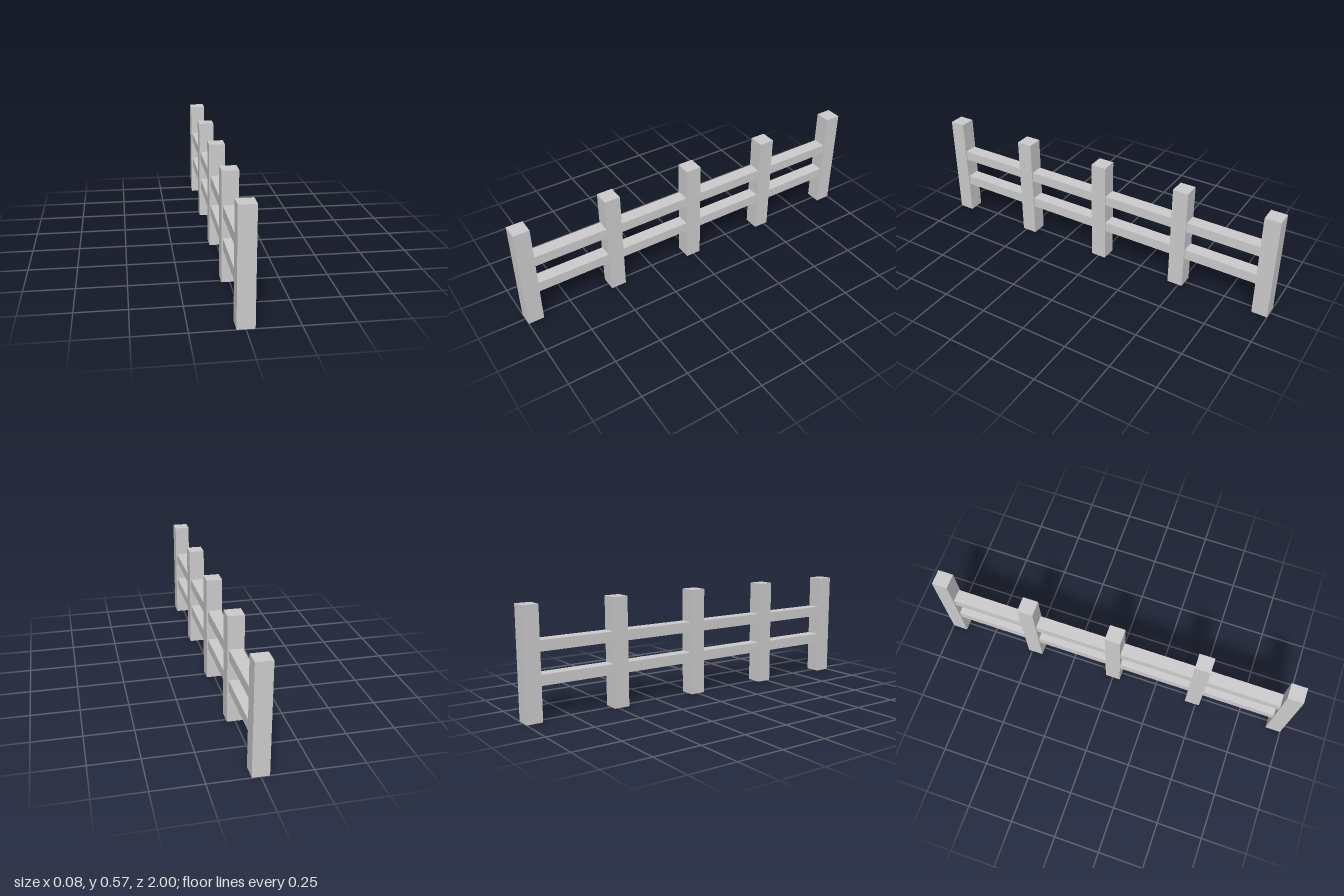
import * as THREE from 'three';

const POST = { width: 0.084, height: 0.573, count: 5 };
const RAIL = { width: 0.07, height: 0.055, levels: [0.205, 0.372] };
const LENGTH = 2;

export function createModel() {
  const fence = new THREE.Group();
  fence.name = 'fence';
  const material = new THREE.MeshStandardMaterial({ color: 0xcccccc, flatShading: true });

  const addBox = (name, w, h, d, y, z) => {
    const mesh = new THREE.Mesh(new THREE.BoxGeometry(w, h, d), material);
    mesh.name = name;
    mesh.position.set(0, y, z);
    fence.add(mesh);
  };

  // Evenly spaced square posts, the end ones flush with the fence ends
  const span = LENGTH - POST.width;
  const spacing = span / (POST.count - 1);
  for (let i = 0; i < POST.count; i++) {
    addBox(`post${i + 1}`, POST.width, POST.height, POST.width, POST.height / 2, span / 2 - i * spacing);
  }

  // Two horizontal rails running through the posts, ending inside the end ones
  RAIL.levels.forEach((y, i) => {
    addBox(i === 0 ? 'lowerRail' : 'upperRail', RAIL.width, RAIL.height, span, y, 0);
  });

  return fence;
}
